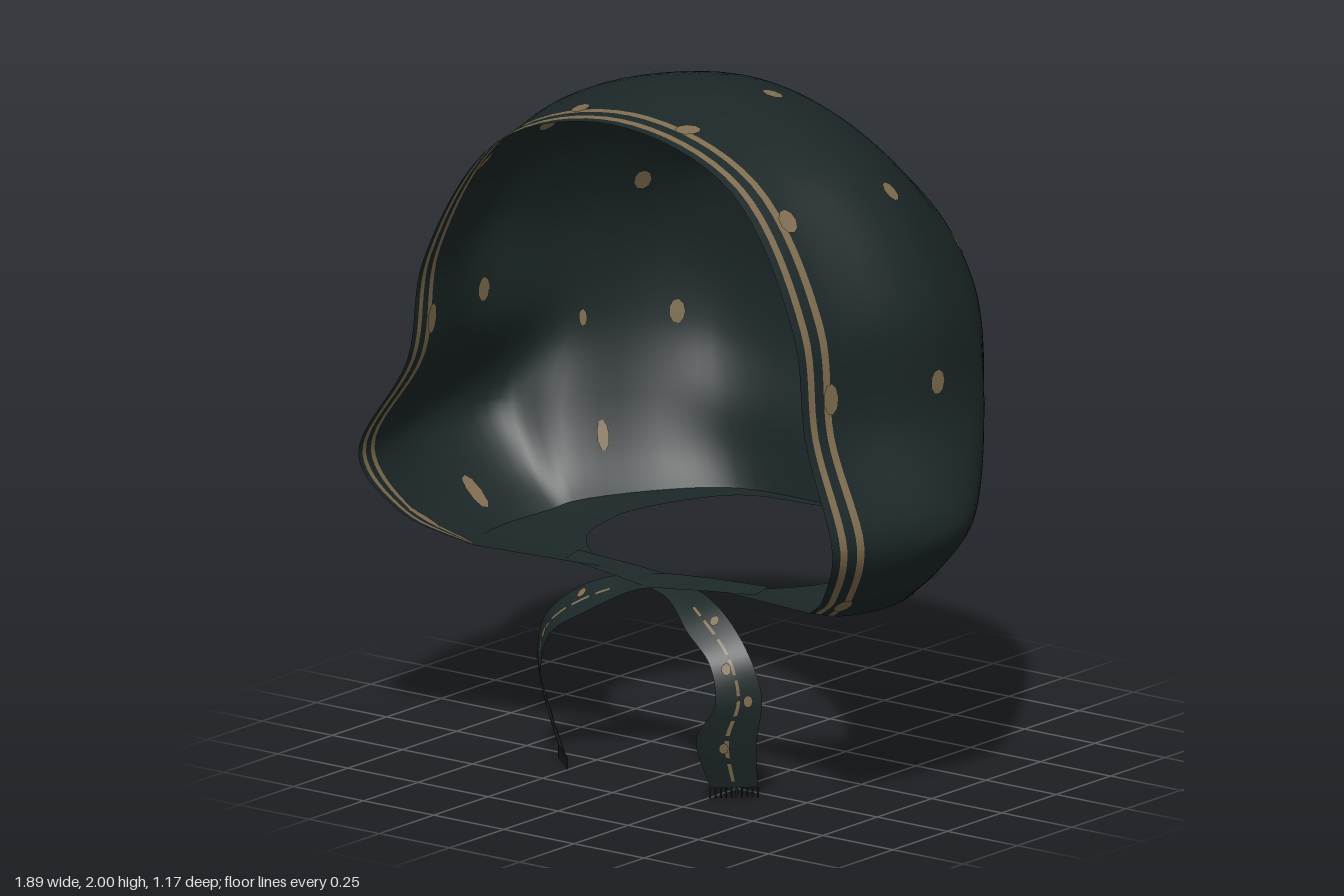
import * as THREE from 'three';
import { mergeVertices } from 'three/addons/utils/BufferGeometryUtils.js';

const fabric = new THREE.MeshStandardMaterial({ color: 0x1c2727, side: THREE.DoubleSide });
fabric.name = 'dark green fabric';
const gold = new THREE.MeshStandardMaterial({ color: 0x7f6d50, side: THREE.DoubleSide });
gold.name = 'tan print';

const V = (p) => new THREE.Vector3(...p);
const flipX = (p) => new THREE.Vector3(-p.x, p.y, p.z);
const curve = (pts) => new THREE.CatmullRomCurve3(pts);
const steps = (n) => Array.from({ length: n + 1 }, (_, i) => i / n);

// Half cross-sections from crown to hem, ordered from the face opening backwards
const frontSections = [
  [[0, 1.95, .5], [.42, 1.825, .5], [.66, 1.45, .52], [.71, 1.15, .53], [.845, .86, .58], [.75, .69, .5], [.6, .595, .37]],
  [[0, 1.97, .36], [.45, 1.835, .36], [.695, 1.46, .365], [.74, 1.14, .375], [.885, .855, .42], [.8, .68, .37], [.66, .58, .29]],
  [[0, 2, .1], [.53, 1.83, .07], [.79, 1.47, .05], [.82, 1.13, .07], [.95, .85, .1], [.84, .69, .1], [.7, .58, .1]],
  [[0, 1.95, -.15], [.49, 1.775, -.15], [.74, 1.44, -.15], [.78, 1.14, -.19], [.89, .87, -.13], [.79, .71, -.1], [.66, .595, -.07]],
];
const backSections = [
  [[0, 1.835, -.33], [.42, 1.69, -.32], [.65, 1.42, -.31], [.71, 1.12, -.29], [.73, .88, -.21], [.69, .73, -.17], [.63, .61, -.13]],
  [[0, 1.63, -.5], [.34, 1.57, -.49], [.53, 1.36, -.47], [.58, 1.1, -.44], [.55, .88, -.41], [.51, .74, -.385], [.46, .625, -.355]],
  [[0, 1.45, -.56], [.21, 1.41, -.56], [.36, 1.25, -.57], [.41, 1.05, -.55], [.36, .85, -.5], [.33, .73, -.485], [.3, .63, -.47]],
  [[0, 1.31, -.578], [0, 1.26, -.581], [0, 1.17, -.585], [0, 1.02, -.57], [0, .84, -.515], [0, .73, -.5], [0, .63, -.49]],
];
const sections = [...frontSections, ...backSections].map((s) => s.map(V));
// The left flare is slacker than the right: inward shift per section
const leftSlack = [0, 0, .01, .075, .01, 0, 0, 0];
// Inner edge of the neck opening, one point per section
const neckEdge = [[.18, .575, .27], [.3, .58, .2], [.43, .59, .06], [.45, .6, -.07],
  [.44, .61, -.12], [.34, .625, -.32], [.24, .63, -.42], [0, .63, -.46]].map(V);

// Grid surface whose cells are sorted into fabric and printed groups
function gridGeometry(rows, isPrinted = () => false) {
  const w = rows[0].length;
  const cells = [[], []];
  for (let r = 0; r < rows.length - 1; r++) {
    for (let c = 0; c < w - 1; c++) {
      const a = r * w + c;
      cells[isPrinted(r, c) ? 1 : 0].push(a, a + w, a + 1, a + 1, a + w, a + w + 1);
    }
  }
  let g = new THREE.BufferGeometry().setFromPoints(rows.flat());
  g.setIndex(cells.flat());
  g.addGroup(0, cells[0].length, 0);
  g.addGroup(cells[0].length, cells[1].length, 1);
  g = mergeVertices(g, 1e-5);
  g.computeVertexNormals();
  return g;
}

function addMesh(parent, name, geometry, material) {
  const mesh = new THREE.Mesh(geometry, material);
  mesh.name = name;
  parent.add(mesh);
  return mesh;
}

// Flat oval dot laid on both faces of a surface at the nearest point
function addSpot(parent, geometry, target, halfWidth, halfHeight) {
  const pos = geometry.attributes.position, nor = geometry.attributes.normal;
  const v = new THREE.Vector3(), n = new THREE.Vector3();
  let best = 0, bestD = Infinity;
  for (let i = 0; i < pos.count; i++) {
    const d = v.fromBufferAttribute(pos, i).distanceToSquared(target);
    if (d < bestD) { bestD = d; best = i; }
  }
  v.fromBufferAttribute(pos, best);
  n.fromBufferAttribute(nor, best);
  const centre = target.clone().addScaledVector(n, -n.dot(target.clone().sub(v)));
  if (centre.distanceTo(v) > .04) centre.copy(v);
  for (const side of [1, -1]) {
    const dot = addMesh(parent, 'spot', new THREE.CircleGeometry(1, 9), gold);
    dot.position.copy(centre).addScaledVector(n, side * .005);
    dot.lookAt(centre.clone().addScaledVector(n, side));
    dot.scale.set(halfWidth, halfHeight, 1);
  }
}

// Printed dots on the left half: x, y, z, half width, half height
const spots = [
  [.205, 1.28, -.56, .031, .037], [.21, 1.78, -.37, .029, .033], [.205, 1.99, .02, .029, .031],
  [.62, 1.76, .01, .029, .033], [.55, 1.51, -.35, .026, .037], [.505, 1.11, -.45, .023, .035],
  [.81, 1.24, .055, .029, .037], [.635, .77, -.27, .018, .046], [.71, 1.1, -.28, .012, .025],
  [.8, .66, .1, .026, .06], [.19, 1.94, .4, .038, .028], [.56, 1.75, .4, .029, .038],
  [.72, 1.25, .42, .028, .046], [.74, .67, .4, .025, .055],
];

function createHood() {
  const hood = new THREE.Group();
  hood.name = 'hood';
  const last = sections.length - 1;
  // Narrow rows at the opening carry the two border stripes
  const us = [0, .18, .34, .56, .72, .86];
  for (let i = 5; i <= last * 5; i++) us.push(i / 5);

  const arches = sections.map((right, i) => {
    const left = right.map((p) => p.clone());
    left[4].x -= leftSlack[i];
    left[5].x -= leftSlack[i] * .7;
    return curve([...right.slice(1).reverse().map(flipX), ...left]);
  });
  const columns = steps(96).map((t) => curve(arches.map((a) => a.getPoint(t))));
  const rows = us.map((u) => columns.map((c) => c.getPoint(u / last)));
  const shell = gridGeometry(rows, (r) => r === 1 || r === 3);
  addMesh(hood, 'shell', shell, [fabric, gold]);

  // Underside turned in towards the neck
  const hem = curve(sections.map((s) => s[6]));
  const neck = curve(neckEdge);
  for (const mirror of [false, true]) {
    const under = us.map((u) => steps(6).map((t) => {
      const p = hem.getPoint(u / last).lerp(neck.getPoint(u / last), t);
      return mirror ? flipX(p) : p;
    }));
    addMesh(hood, mirror ? 'rightUnderside' : 'leftUnderside', gridGeometry(under), fabric);
  }

  for (const [x, y, z, w, h] of spots) {
    for (const side of [1, -1]) addSpot(hood, shell, V([side * x, y, z]), w, h);
  }
  return hood;
}

// Ribbon between two edge curves, with a dashed line, dots and a fringe
function createStrap(mirror) {
  const strap = new THREE.Group();
  strap.name = mirror ? 'rightStrap' : 'leftStrap';
  const place = (p) => {
    const v = V(p);
    return mirror ? flipX(v).setY(v.y + (v.y > .5 ? .006 : 0)) : v;
  };
  const outer = curve([[-.34, .592, .22], [-.1, .58, .22], [.05, .57, .24], [.23, .53, .3], [.36, .43, .34],
    [.4, .31, .33], [.378, .17, .325], [.355, .03, .29]].map(place));
  const inner = curve([[-.34, .58, .28], [-.1, .56, .3], [.05, .54, .32], [.18, .475, .39], [.285, .4, .42],
    [.31, .29, .43], [.26, .19, .45], [.255, .03, .38]].map(place));
  const at = (u, t) => outer.getPoint(u).lerp(inner.getPoint(u), t);
  const across = [0, .2, .46, .53, .8, 1];
  const rows = steps(56).map((u) => across.map((t) => at(u, t)));
  const ribbon = gridGeometry(rows, (r, c) => c === 2 && r > 20 && r % 4 < 3);
  addMesh(strap, 'ribbon', ribbon, [fabric, gold]);
  for (const [u, t] of [[.45, .3], [.6, .65], [.72, .3], [.88, .55]]) {
    addSpot(strap, ribbon, at(u, t), .014, .018);
  }

  for (const t of steps(9)) {
    const thread = addMesh(strap, 'fringeThread', new THREE.BoxGeometry(.004, .03, .004), fabric);
    thread.position.copy(at(1, t)).setY(.015);
  }
  return strap;
}

export function createModel() {
  const model = new THREE.Group();
  model.name = 'headscarf';
  model.add(createHood(), createStrap(false), createStrap(true));
  return model;
}
